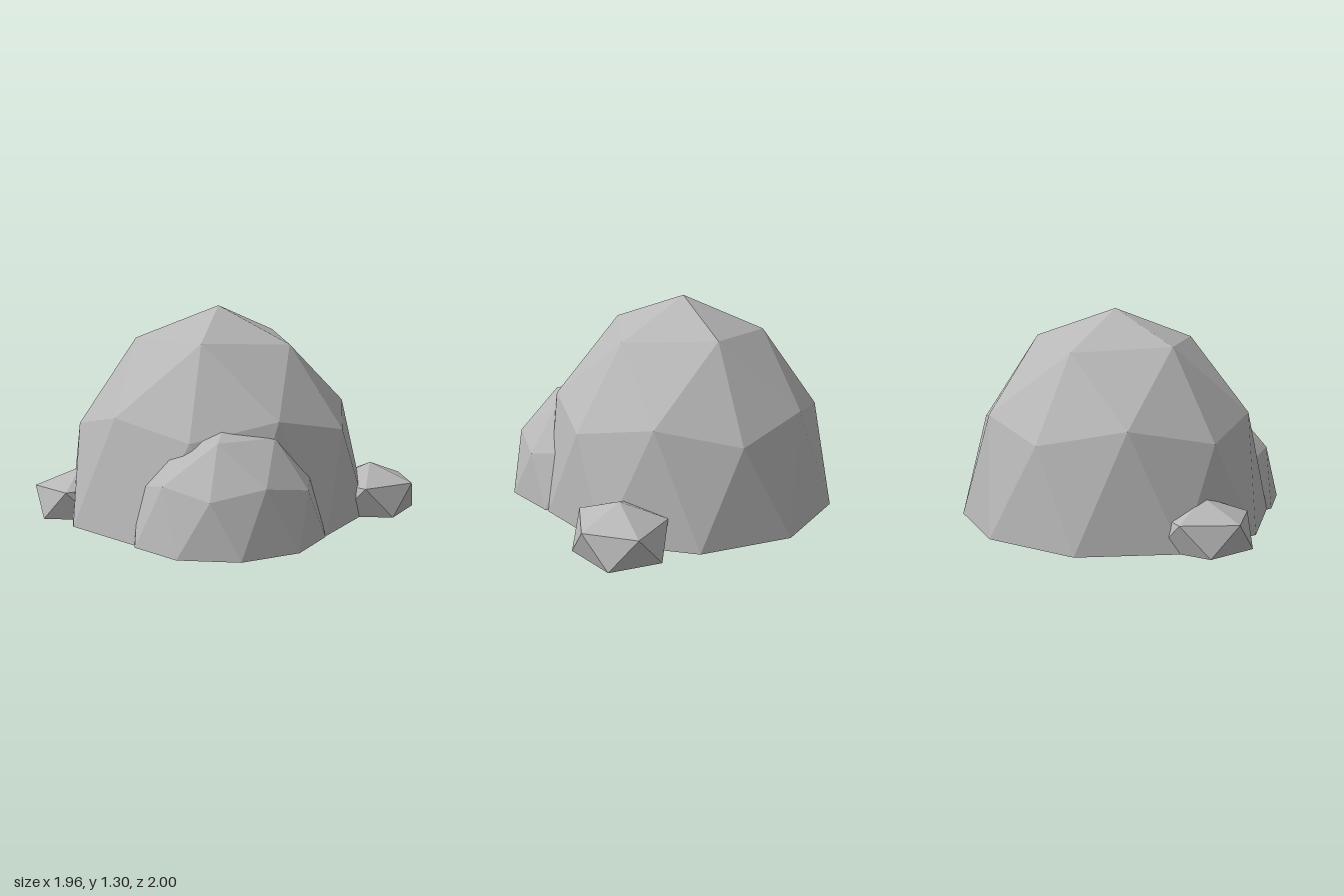
import * as THREE from 'three';

const stone = new THREE.MeshStandardMaterial({ color: 0xb8b8b8, flatShading: true, side: THREE.DoubleSide });
stone.name = 'stone grey';

// Point on a ring: angle in degrees, ring radius and height on a unit ball, stretched by size.
function ringPoint(deg, r, y, size) {
  const a = THREE.MathUtils.degToRad(deg);
  return [Math.cos(a) * r * size[0], y * size[1], Math.sin(a) * r * size[2]];
}

function rock(name, triangles, position) {
  const geometry = new THREE.BufferGeometry();
  // corners are listed by rising angle, so swap two to face outwards
  const flat = triangles.flatMap(([a, b, c]) => [...a, ...c, ...b]);
  geometry.setAttribute('position', new THREE.Float32BufferAttribute(flat, 3));
  geometry.computeVertexNormals();
  const mesh = new THREE.Mesh(geometry, stone);
  mesh.name = name;
  mesh.position.set(...position);
  return mesh;
}

// Upper half of a once-subdivided icosahedron, open underneath.
// capShift raises each corner of the top ring; rimShift slides the front and back rim corners in z.
function domeRock(name, size, position, capShift = [0, 0, 0, 0, 0], rimShift = 0, poleShift = 0) {
  const tris = [];
  const pole = [poleShift, size[1], poleShift];
  const cap = (i) => {
    const p = ringPoint(72 * i, 0.526, 0.851, size);
    p[1] += capShift[i % 5];
    return p;
  };
  const corner = (i) => ringPoint(72 * i, 0.894, 0.447, size);
  const middle = (i) => ringPoint(72 * i + 36, 0.851, 0.526, size);
  const rim = (deg) => {
    const p = ringPoint(deg, 1, 0, size);
    if (Math.abs(p[0]) < 0.01) p[2] += rimShift;
    return p;
  };
  for (let i = 0; i < 5; i++) {
    const a = cap(i), b = cap(i + 1), c = corner(i), d = corner(i + 1), m = middle(i);
    const e0 = rim(72 * i - 18), e1 = rim(72 * i + 18), e2 = rim(72 * i + 54);
    tris.push([pole, a, b], [a, m, b], [a, c, m], [b, m, d]);
    tris.push([c, e0, e1], [c, e1, m], [m, e1, e2], [m, e2, d]);
  }
  // the triangles above run pole -> low angle -> high angle
  return rock(name, tris, position);
}

// Icosahedron without its lowest five faces, open underneath.
function pebble(name, size, position) {
  const tris = [];
  const pole = [0, size[1], 0];
  const upper = (i) => ringPoint(72 * i, 1, 0.63, size);
  const lower = (i) => ringPoint(72 * i + 36, 1, 0, size);
  for (let i = 0; i < 5; i++) {
    tris.push([pole, upper(i), upper(i + 1)]);
    tris.push([upper(i), lower(i), upper(i + 1)]);
    tris.push([upper(i + 1), lower(i), lower(i + 1)]);
  }
  return rock(name, tris, position);
}

export function createModel() {
  const group = new THREE.Group();
  group.name = 'rockPile';
  group.add(
    domeRock('mainBoulder', [0.977, 1.3, 0.94], [-0.025, 0, -0.035], [0.015, -0.03, 0, 0, -0.03], -0.025, 0.008),
    domeRock('sideBoulder', [0.6, 0.7, 0.555], [-0.41, 0, 0.445]),
    pebble('frontPebble', [0.31, 0.3, 0.272], [0.67, 0, 0.655]),
    pebble('backPebble', [0.29, 0.285, 0.265], [-0.68, 0, -0.6])
  );
  return group;
}
